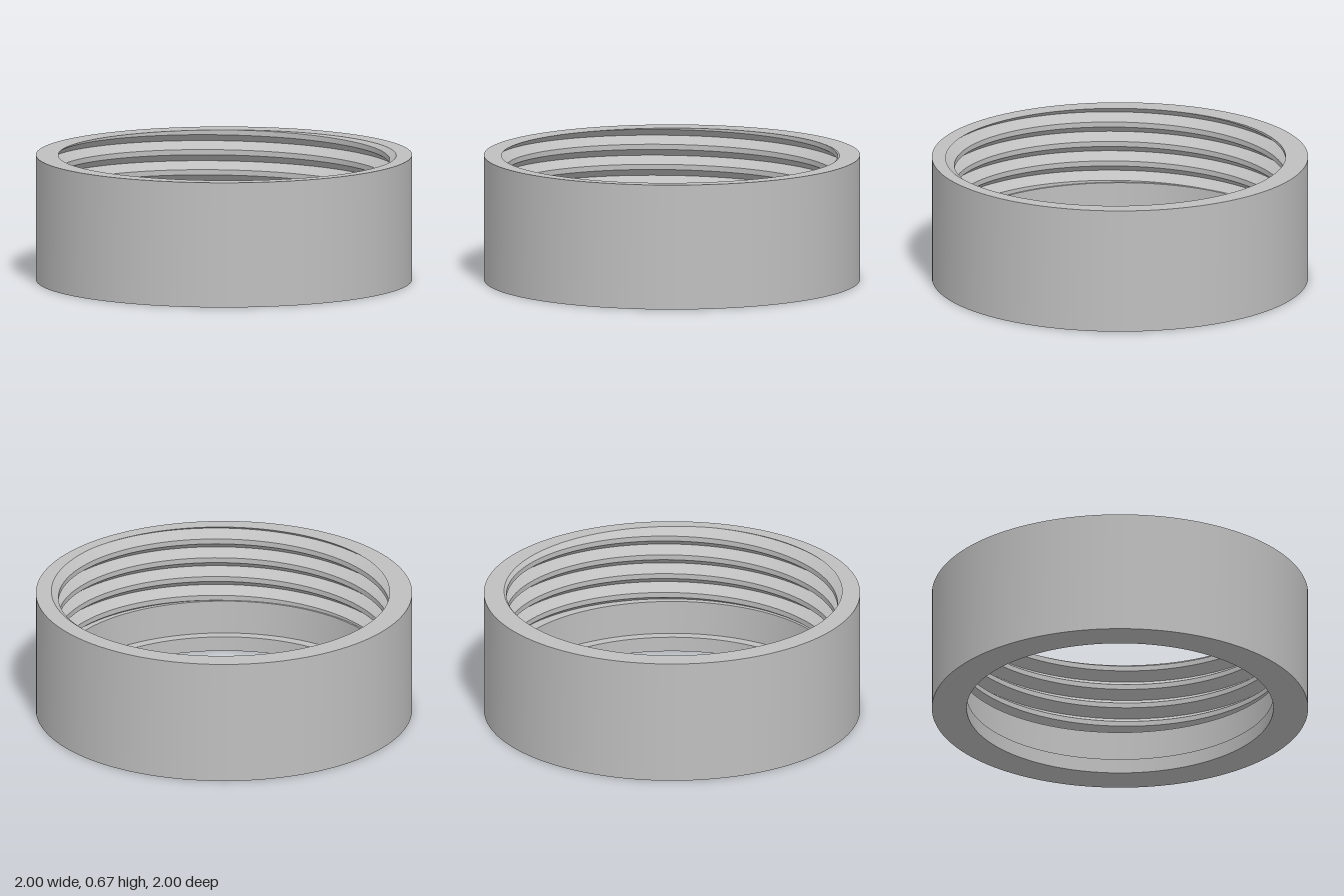
import * as THREE from 'three';
import { toCreasedNormals } from 'three/addons/utils/BufferGeometryUtils.js';

const SEGMENTS = 180;
const HEIGHT = 0.67, OUTER = 1, LIP = 0.815, BORE = 0.87, LIP_TOP = 0.08;
const CREST = 0.88, ROOT = 0.935, FLANK = 0.04, PITCH = 0.108, THREAD_BOTTOM = 0.263;

// Height of the groove root on its first turn, falling from the front towards the right
const rootHeight = (a) => HEIGHT - PITCH * a / (2 * Math.PI);

// Inner radius of the threaded wall at an angle and height
function threadRadius(a, y) {
  const turns = (y - rootHeight(a)) / PITCH;
  const distance = Math.abs(turns - Math.round(turns)) * PITCH;
  return CREST + (ROOT - CREST) * Math.max(0, 1 - distance / FLANK);
}

// Threaded wall section: crest, root, crest for every turn, trimmed to the wall
function threadProfile(a) {
  const points = [[threadRadius(a, THREAD_BOTTOM), THREAD_BOTTOM]];
  for (let turn = 5; turn >= -1; turn--) {
    for (const offset of [-FLANK, 0, FLANK]) {
      const y = THREE.MathUtils.clamp(rootHeight(a) - turn * PITCH + offset, THREAD_BOTTOM, HEIGHT);
      points.push([threadRadius(a, y), y]);
    }
  }
  points.push([threadRadius(a, HEIGHT), HEIGHT]);
  return points;
}

// Sweep a section of [radius, height] points, which may vary with angle, round the axis
function sweep(profile) {
  const positions = [], indices = [];
  let rows = 0;
  for (let i = 0; i <= SEGMENTS; i++) {
    const a = i / SEGMENTS * Math.PI * 2;
    const points = profile(a);
    rows = points.length;
    const s = Math.sin(i % SEGMENTS / SEGMENTS * Math.PI * 2);
    const c = Math.cos(i % SEGMENTS / SEGMENTS * Math.PI * 2);
    for (const [r, y] of points) positions.push(-r * s, y, r * c);
  }
  for (let i = 0; i < SEGMENTS; i++) {
    for (let j = 0; j < rows - 1; j++) {
      const p = i * rows + j, q = p + rows;
      indices.push(p, q, q + 1, p, q + 1, p + 1);
    }
  }
  const geometry = new THREE.BufferGeometry();
  geometry.setAttribute('position', new THREE.Float32BufferAttribute(positions, 3));
  geometry.setIndex(indices);
  return toCreasedNormals(geometry, 0.5);
}

export function createModel() {
  const group = new THREE.Group();
  group.name = 'threadedRing';
  const grey = new THREE.MeshStandardMaterial({ color: 0xbfbfbf });
  grey.name = 'grey';

  const add = (name, profile) => {
    const mesh = new THREE.Mesh(sweep(profile), grey);
    mesh.name = name;
    group.add(mesh);
  };

  // Rim face, outer wall and underside; the rim follows the thread's run-out
  add('outerShell', (a) => [
    [threadRadius(a, HEIGHT), HEIGHT], [OUTER, HEIGHT], [OUTER, 0], [LIP, 0],
  ]);

  // Retaining lip, plain bore and the small ledge under the thread
  add('retainingLip', (a) => [
    [LIP, 0], [LIP, LIP_TOP], [BORE, LIP_TOP], [BORE, THREAD_BOTTOM],
    [threadRadius(a, THREAD_BOTTOM), THREAD_BOTTOM],
  ]);

  // Helical V groove
  add('internalThread', threadProfile);

  return group;
}
